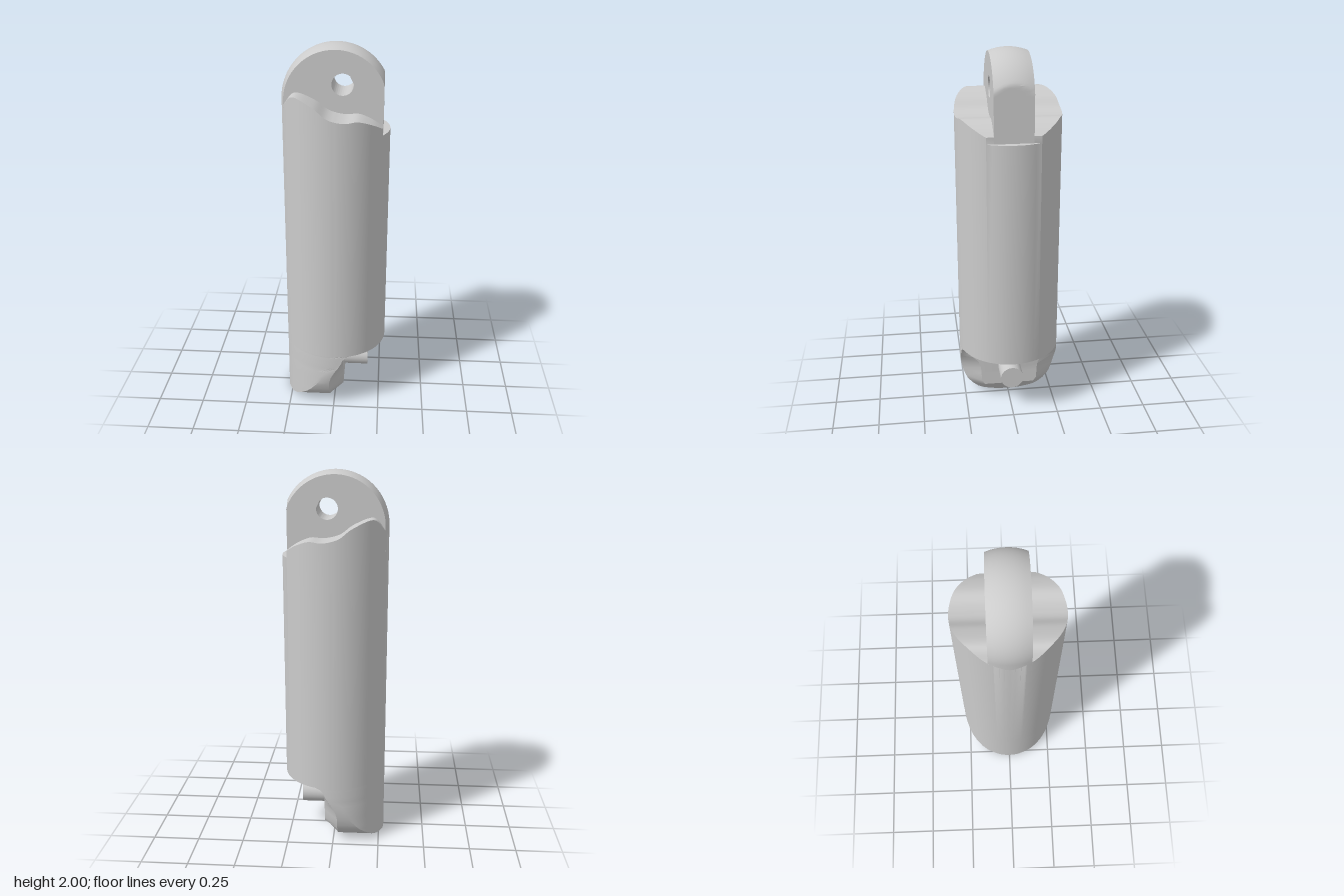
import * as THREE from 'three';
import { toCreasedNormals } from 'three/addons/utils/BufferGeometryUtils.js';

const R = 0.277; // barrel radius
const chord = (x) => Math.sqrt(Math.max(0, R * R - x * x));

function geometryFrom(positions, index) {
  const g = new THREE.BufferGeometry();
  g.setAttribute('position', new THREE.Float32BufferAttribute(positions, 3));
  if (index) g.setIndex(index);
  return toCreasedNormals(g, 0.5);
}

// Round barrel with a wavy shoulder line h(x) swept straight through in z
function barrelGeometry() {
  const base = 0.345;
  const wave = new THREE.SplineCurve([
    [-R, 1.66], [-0.272, 1.68], [-0.255, 1.71], [-0.2, 1.77], [-0.1, 1.735], [-0.03, 1.685],
    [0.05, 1.665], [0.12, 1.668], [0.19, 1.64], [0.24, 1.605],
  ].map(([x, y]) => new THREE.Vector2(x, y))).getPoints(54);
  // low ledge beyond the flat side of the lug
  for (const x of [0.24, 0.255, 0.267, 0.274, R]) wave.push(new THREE.Vector2(x, 1.57));

  const pos = [];
  const quad = (a, b, c, d) => pos.push(...a, ...b, ...c, ...a, ...c, ...d);
  for (let i = 0; i < wave.length - 1; i++) {
    const { x: x0, y: h0 } = wave[i], { x: x1, y: h1 } = wave[i + 1];
    const z0 = chord(x0), z1 = chord(x1);
    quad([x0, base, z0], [x1, base, z1], [x1, h1, z1], [x0, h0, z0]);
    quad([x1, base, -z1], [x0, base, -z0], [x0, h0, -z0], [x1, h1, -z1]);
    quad([x0, h0, z0], [x1, h1, z1], [x1, h1, -z1], [x0, h0, -z0]);
    quad([x0, base, -z0], [x1, base, -z1], [x1, base, z1], [x0, base, z0]);
  }
  return geometryFrom(pos);
}

// Spherically crowned lug with a cross hole and one flat side
function lugGeometry() {
  const cy = 1.723, flat = 0.242, half = 0.1;
  const shape = new THREE.Shape();
  shape.moveTo(-R, 1.5 - cy);
  shape.lineTo(R, 1.5 - cy);
  shape.lineTo(R, 0);
  shape.absarc(0, 0, R, 0, Math.PI, false);
  shape.closePath();
  const hole = new THREE.Path();
  hole.absarc(0.037, 1.812 - cy, 0.055, 0, Math.PI * 2, true);
  shape.holes.push(hole);
  const g = new THREE.ExtrudeGeometry(shape, { depth: half * 2, steps: 8, bevelEnabled: false, curveSegments: 32 });
  g.translate(0, 0, -half);
  const p = g.attributes.position;
  for (let i = 0; i < p.count; i++) {
    let x = p.getX(i), y = p.getY(i);
    if (Math.hypot(x, y) > R - 0.01) { // outline only, the hole stays straight
      const k = chord(p.getZ(i)) / R;
      x = Math.min(x * k, flat);
      if (y > 0) y *= k;
    }
    p.setXYZ(i, x, y + cy, p.getZ(i));
  }
  g.deleteAttribute('normal');
  return toCreasedNormals(g, 0.5);
}

// Chamfered foot lofted upward; each row is
// [height, face x, face half width, chamfer x, outer half width]
function footGeometry() {
  const rows = [
    [0, -0.025, 0.04, -0.027, 0.06],
    [0.006, -0.02, 0.06, -0.025, 0.09],
    [0.015, -0.012, 0.08, -0.025, 0.14],
    [0.03, 0.002, 0.1, -0.025, 0.175],
    [0.055, 0.025, 0.12, -0.025, 0.207],
    [0.085, 0.05, 0.14, -0.025, 0.233],
    [0.11, 0.05, 0.158, -0.025, 0.246],
    [0.16, 0.05, 0.16, -0.025, 0.263],
    [0.2, 0.05, 0.163, -0.015, 0.27],
    [0.24, 0.05, 0.178, 0.005, 0.275],
    [0.27, 0.05, 0.21, 0.025, 0.275],
    [0.295, 0.05, 0.235, 0.04, 0.273],
    [0.32, 0.056, 0.25, 0.05, 0.271],
    [0.335, 0.068, 0.262, 0.066, 0.268],
    [0.346, 0.1, 0.257, 0.098, 0.2585],
  ];
  const K = 20, pos = [], idx = [];
  let n = 0;
  rows.forEach(([y, xf, wf, xc, w]) => {
    // half outline: face, chamfer, then round the back on the barrel radius
    const side = [[xf, wf], [xc, w]];
    const start = y > 0.25 ? Math.atan2(w, xc) : Math.PI - Math.asin(w / R);
    for (let k = 0; k <= K; k++) {
      const a = start + (Math.PI - start) * k / K;
      side.push([R * Math.cos(a), R * Math.sin(a)]);
    }
    const loop = [...side, ...side.slice(0, -1).reverse().map(([x, z]) => [x, -z])];
    n = loop.length;
    loop.forEach(([x, z]) => pos.push(x, y, z));
  });
  for (let i = 0; i < rows.length - 1; i++) {
    for (let j = 0; j < n; j++) {
      const a = i * n + j, b = i * n + (j + 1) % n;
      idx.push(a, a + n, b, b, a + n, b + n);
    }
  }
  for (let j = 1; j < n - 1; j++) idx.push(0, j, j + 1); // underside
  return geometryFrom(pos, idx);
}

export function createModel() {
  const group = new THREE.Group();
  const material = new THREE.MeshStandardMaterial({ color: 0xcccccc });
  const add = (name, geometry) => {
    const mesh = new THREE.Mesh(geometry, material);
    mesh.name = name;
    group.add(mesh);
    return mesh;
  };
  add('barrel', barrelGeometry());
  add('lug', lugGeometry());
  add('foot', footGeometry());

  // Pin standing out of the foot face
  const pin = add('pin', new THREE.CylinderGeometry(0.063, 0.063, 0.15, 24));
  pin.rotation.z = -Math.PI / 2;
  pin.position.set(0.108, 0.2, 0);
  return group;
}
